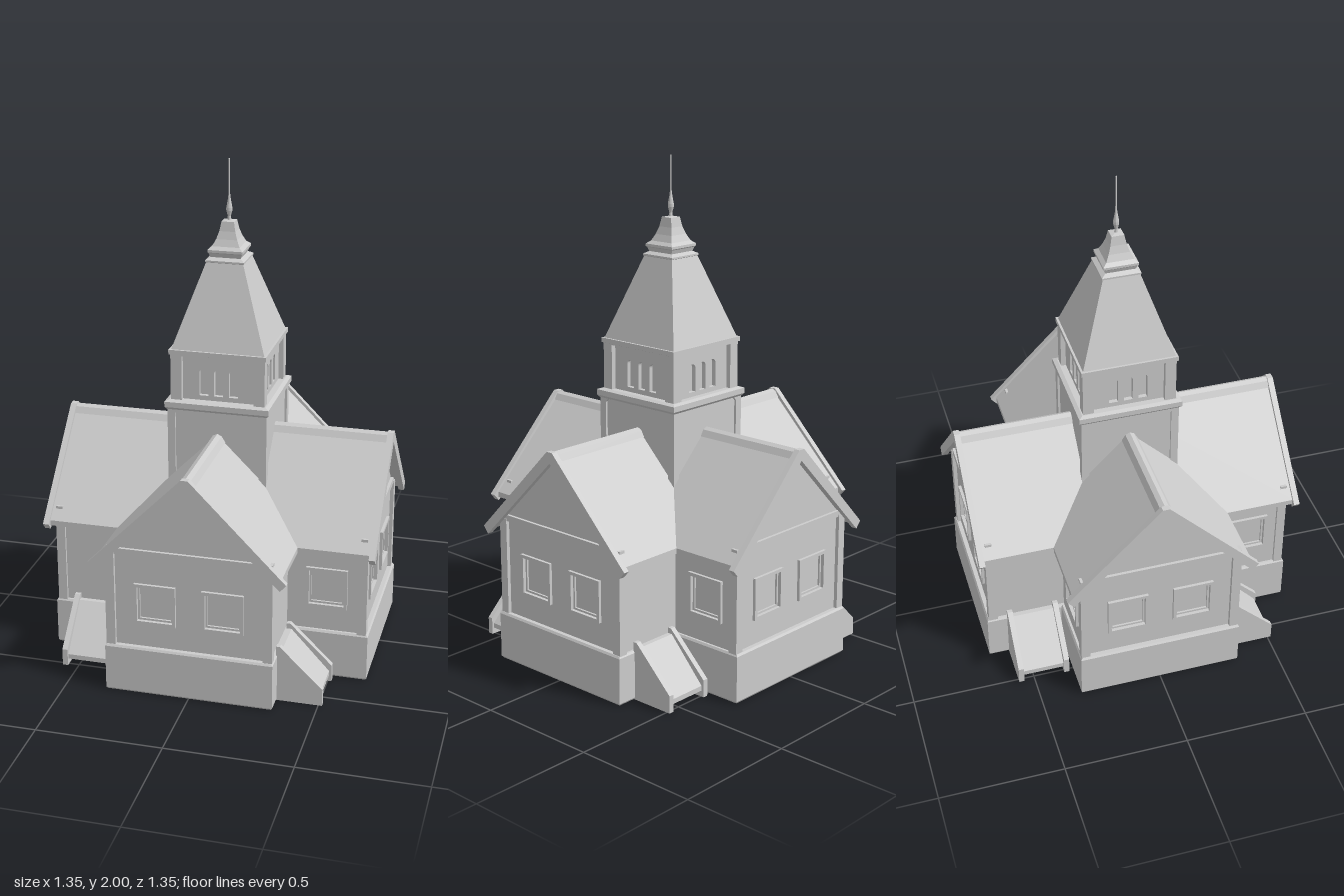
import * as THREE from 'three';

const mat = new THREE.MeshStandardMaterial({ color: 0xcccccc, flatShading: true, side: THREE.DoubleSide });
const V2 = (p) => p.map(([x, y]) => new THREE.Vector2(x, y));

function add(parent, name, geo, x = 0, y = 0, z = 0) {
  const m = new THREE.Mesh(geo, mat);
  m.name = name;
  m.position.set(x, y, z);
  parent.add(m);
  return m;
}

// Box given by its lower and upper limits
function box(parent, name, x0, x1, y0, y1, z0, z1) {
  return add(parent, name, new THREE.BoxGeometry(x1 - x0, y1 - y0, z1 - z0),
    (x0 + x1) / 2, (y0 + y1) / 2, (z0 + z1) / 2);
}

const rect = (x0, x1, y0, y1) => [[x0, y0], [x1, y0], [x1, y1], [x0, y1]];

// Extruded outline with optional holes
function plate(points, depth, holes = []) {
  const s = new THREE.Shape(V2(points));
  holes.forEach((h) => s.holes.push(Array.isArray(h) ? new THREE.Path(V2(h)) : h));
  return new THREE.ExtrudeGeometry(s, { depth, bevelEnabled: false, curveSegments: 6 });
}

// Square turned profile: [half width, height]
function squareLathe(parent, name, profile) {
  const g = new THREE.LatheGeometry(V2(profile.map(([w, y]) => [w * Math.SQRT2, y])), 4, Math.PI / 4);
  return add(parent, name, g);
}

// Window frame and recessed pane, facing +z at the wall plane
function windowUnit(parent, cx, z) {
  const w = new THREE.Group();
  w.name = 'window';
  add(w, 'windowFrame', plate(rect(-0.083, 0.083, -0.085, 0.085), 0.03, [rect(-0.07, 0.07, -0.072, 0.072)]), 0, 0, -0.018);
  add(w, 'windowSash', plate(rect(-0.07, 0.07, -0.072, 0.072), 0.012, [rect(-0.062, 0.062, -0.064, 0.064)]), 0, 0, -0.014);
  box(w, 'windowPane', -0.066, 0.066, -0.068, 0.068, -0.016, -0.01);
  w.position.set(cx, 0.385, z);
  parent.add(w);
}
const windowHole = (cx) => rect(cx - 0.075, cx + 0.075, 0.308, 0.462);

// Cross-shaped plan outline
function crossPlan(w, l) {
  return [[w, w], [w, l], [-w, l], [-w, w], [-l, w], [-l, -w], [-w, -w], [-w, -l], [w, -l], [w, -w], [l, -w], [l, w]];
}

// Roof slope running from the eave to the ridge, mitred along the valley
function roofSlope(side) {
  const top = [[0.367, 0.567, 0.655], [0.367, 0.567, 0.367], [0, 0.934, 0], [0, 0.934, 0.655]];
  const v = [];
  for (const drop of [0, 0.022]) top.forEach(([x, y, z]) => v.push(x * side, y - drop, z));
  const idx = [0, 1, 2, 0, 2, 3, 4, 6, 5, 4, 7, 6, 0, 4, 5, 0, 5, 1, 0, 3, 7, 0, 7, 4];
  if (side < 0) idx.reverse();
  const g = new THREE.BufferGeometry();
  g.setAttribute('position', new THREE.Float32BufferAttribute(v, 3));
  g.setIndex(idx);
  g.computeVertexNormals();
  return g;
}

// Sloped entrance ramp with cheek walls, on the +x side of a wing
function stair(parent) {
  const s = new THREE.Group();
  s.name = 'stair';
  const cheek = [[0.33, 0], [0.515, 0], [0.515, 0.07], [0.345, 0.235], [0.33, 0.235]];
  for (const z of [0.352, 0.543]) add(s, 'stairCheek', plate(cheek, 0.022), 0, 0, z);
  const ramp = [[0.33, 0.195], [0.505, 0.025], [0.505, 0.045], [0.35, 0.213], [0.33, 0.213]];
  add(s, 'stairRamp', plate(ramp, 0.17), 0, 0, 0.373);
  parent.add(s);
}

function wing() {
  const g = new THREE.Group();
  g.name = 'wing';

  // gable wall with two windows
  const gable = [[-0.315, 0.19], [0.315, 0.19], [0.315, 0.6], [0, 0.912], [-0.315, 0.6]];
  add(g, 'gableWall', plate(gable, 0.018, [windowHole(-0.135), windowHole(0.135)]), 0, 0, 0.607);
  windowUnit(g, -0.135, 0.625);
  windowUnit(g, 0.135, 0.625);
  box(g, 'gableBeam', -0.33, 0.33, 0.59, 0.615, 0.61, 0.637);

  // side walls, one with a window, one with the entrance ramp
  box(g, 'sideWall', 0.302, 0.32, 0.19, 0.6, 0.302, 0.62);
  const side = new THREE.Group();
  side.name = 'windowSide';
  add(side, 'sideWall', plate(rect(0.302, 0.62, 0.19, 0.6), 0.018, [windowHole(0.478)]), 0, 0, 0.302);
  windowUnit(side, 0.478, 0.32);
  side.rotation.y = -Math.PI / 2;
  g.add(side);
  stair(g);

  for (const s of [-1, 1]) {
    const x = s * 0.3125;
    box(g, 'cornerPost', x - 0.0185, x + 0.0185, 0.19, 0.6, 0.603, 0.64);
    add(g, 'roofSlope', roofSlope(s));
  }

  // bargeboards and ridge cap
  const barge = [[0.014, 0.94], [0.39, 0.558], [0.366, 0.53], [0, 0.896],
    [-0.366, 0.53], [-0.39, 0.558], [-0.014, 0.94]];
  add(g, 'bargeboard', plate(barge, 0.024), 0, 0, 0.65);
  const cap = plate([[0.033, 0.905], [0.018, 0.93], [0, 0.939], [-0.018, 0.93], [-0.033, 0.905]], 0.49);
  add(g, 'ridgeCap', cap, 0, 0, 0.165);
  return g;
}

function tower() {
  const t = new THREE.Group();
  t.name = 'tower';
  squareLathe(t, 'towerShaft', [[0.192, 0.74], [0.192, 1.035]]);
  squareLathe(t, 'towerCornice', [[0.19, 1.025], [0.203, 1.03], [0.211, 1.04], [0.211, 1.062], [0.195, 1.068], [0, 1.068]]);

  const arch = (cx) => {
    const p = new THREE.Path();
    p.moveTo(cx - 0.018, 1.087);
    p.lineTo(cx + 0.018, 1.087);
    p.lineTo(cx + 0.018, 1.182);
    p.absarc(cx, 1.182, 0.018, 0, Math.PI, false);
    p.closePath();
    return p;
  };
  const shaftPanel = [[-0.17, 0.72], [0.17, 0.72], [0.17, 1.015], [0.155, 1.032], [-0.155, 1.032], [-0.17, 1.015]];
  const shaftFace = [[-0.201, 0.732], [-0.17, 0.762], [-0.17, 1.015], [-0.155, 1.032],
    [0.155, 1.032], [0.17, 1.015], [0.17, 0.762], [0.201, 0.732], [0.201, 1.036], [-0.201, 1.036]];
  for (let i = 0; i < 4; i++) {
    const f = new THREE.Group();
    f.name = 'towerFace';
    f.rotation.y = i * Math.PI / 2;
    add(f, 'shaftTrim', plate(shaftFace, 0.01), 0, 0, 0.191);
    // belfry wall with three arched openings
    add(f, 'belfryWall', plate(rect(-0.17, 0.17, 1.065, 1.26), 0.018, [-0.06, 0, 0.06].map(arch)), 0, 0, 0.152);
    box(f, 'belfryBacking', -0.15, 0.15, 1.065, 1.26, 0.14, 0.146);
    add(f, 'belfryFrame', plate(rect(-0.19, 0.19, 1.065, 1.26), 0.022, [rect(-0.145, 0.145, 1.068, 1.25)]), 0, 0, 0.168);
    t.add(f);
  }

  squareLathe(t, 'belfryCornice', [[0.185, 1.252], [0.196, 1.256], [0.196, 1.275], [0, 1.277]]);
  squareLathe(t, 'spire', [[0.187, 1.275], [0.074, 1.605]]);
  squareLathe(t, 'spireCap', [[0.07, 1.6], [0.078, 1.605], [0.078, 1.612], [0.06, 1.622], [0.066, 1.638],
    [0.07, 1.642], [0.07, 1.652], [0.055, 1.664], [0.042, 1.69], [0.032, 1.72], [0.025, 1.757], [0, 1.762]]);
  const finial = V2([[0.008, 1.755], [0.006, 1.775], [0.012, 1.797], [0.012, 1.808], [0.006, 1.84],
    [0.0035, 1.86], [0.0025, 2], [0, 2]]);
  add(t, 'finial', new THREE.LatheGeometry(finial, 10));
  return t;
}

export function createModel() {
  const model = new THREE.Group();
  model.name = 'crossHouse';

  // hollow foundation with a chamfered upper edge
  const s = new THREE.Shape(V2(crossPlan(0.329, 0.642)));
  s.holes.push(new THREE.Path(V2(crossPlan(0.31, 0.62))));
  const base = new THREE.ExtrudeGeometry(s, { depth: 0.184, bevelThickness: 0.008, bevelSize: 0.006, bevelSegments: 1 });
  base.rotateX(-Math.PI / 2);
  add(model, 'foundation', base, 0, 0.008, 0);

  for (let i = 0; i < 4; i++) {
    const w = wing();
    w.rotation.y = i * Math.PI / 2;
    model.add(w);
  }
  model.add(tower());
  return model;
}
